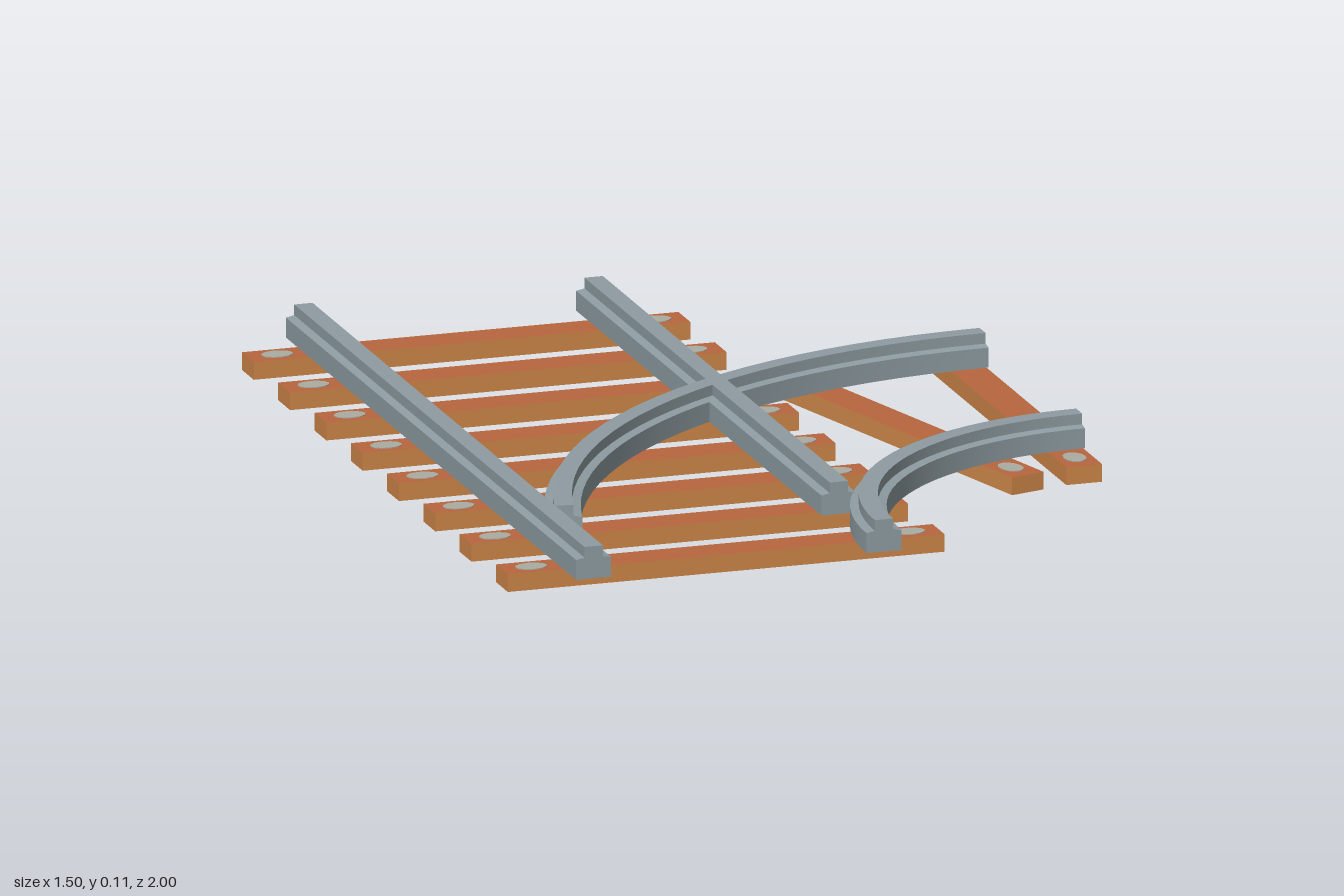
import * as THREE from 'three';
import { toCreasedNormals } from 'three/addons/utils/BufferGeometryUtils.js';

const material = (name, color) => {
  const m = new THREE.MeshStandardMaterial({ color });
  m.name = name;
  return m;
};

// Stepped rail section: wide foot, narrow head
const railSection = new THREE.Shape([
  [-0.04, 0.04], [0.04, 0.04], [0.04, 0.085], [0.021, 0.089],
  [0.021, 0.113], [-0.021, 0.113], [-0.021, 0.089], [-0.04, 0.085],
].map(([x, y]) => new THREE.Vector2(x, y)));

function straightRail(x, z0, z1) {
  const g = new THREE.ExtrudeGeometry(railSection, { depth: z1 - z0, bevelEnabled: false });
  return g.translate(x, 0, z0);
}

// Extrude the section, then bend it around a vertical axis at (cx, cz)
function curvedRail(cx, cz, radius, startAngle, endAngle) {
  const g = new THREE.ExtrudeGeometry(railSection, { depth: 1, steps: 24, bevelEnabled: false });
  const p = g.attributes.position;
  for (let i = 0; i < p.count; i++) {
    const r = radius + p.getX(i);
    const a = startAngle + (endAngle - startAngle) * p.getZ(i);
    p.setXYZ(i, cx + r * Math.sin(a), p.getY(i), cz + r * Math.cos(a));
  }
  return toCreasedNormals(g, 0.3);
}

export function createModel() {
  const model = new THREE.Group();
  model.name = 'railwaySwitch';
  const steel = material('railSteel', 0x8e9ca1);
  const woodFace = material('sleeperFace', 0xb9663f);
  const woodSide = material('sleeperSide', 0xcd8648);
  const bolt = material('boltMetal', 0xabada2);

  const add = (parent, name, geometry, mat) => {
    const mesh = new THREE.Mesh(geometry, mat);
    mesh.name = name;
    parent.add(mesh);
    return mesh;
  };

  // Rails
  add(model, 'outerStraightRail', straightRail(-0.585, -1, 1), steel);
  add(model, 'innerStraightRail', straightRail(0.08, -1, 0.69), steel);
  add(model, 'outerCurvedRail', curvedRail(0.75, 1, 1.335, Math.PI * 1.5 - 0.245, Math.PI), steel);
  add(model, 'innerCurvedRail', curvedRail(0.75, 1, 0.67, Math.PI * 1.5, Math.PI), steel);

  // Sleepers with a flat oval bolt plate near each end
  const sleeperGeometry = new THREE.BoxGeometry(1, 0.04, 0.082).translate(0, 0.02, 0);
  const sleeperMaterials = [woodSide, woodSide, woodFace, woodFace, woodSide, woodSide];
  const boltGeometry = new THREE.CylinderGeometry(1, 1, 0.003, 12).scale(0.036, 1, 0.025);
  function sleeper(x, z, angle) {
    const group = new THREE.Group();
    group.name = 'sleeper';
    add(group, 'sleeperBeam', sleeperGeometry, sleeperMaterials);
    for (const side of [-1, 1]) {
      add(group, 'boltPlate', boltGeometry, bolt).position.set(side * 0.433, 0.0405, 0);
    }
    group.position.set(x, 0, z);
    group.rotation.y = angle;
    model.add(group);
  }
  for (let i = 0; i < 8; i++) sleeper(-0.252, -0.88 + i * 0.25, 0);
  sleeper(0.435, 0.045, -Math.PI / 2 + THREE.MathUtils.degToRad(15.3));
  sleeper(0.705, 0, -Math.PI / 2);

  return model;
}
